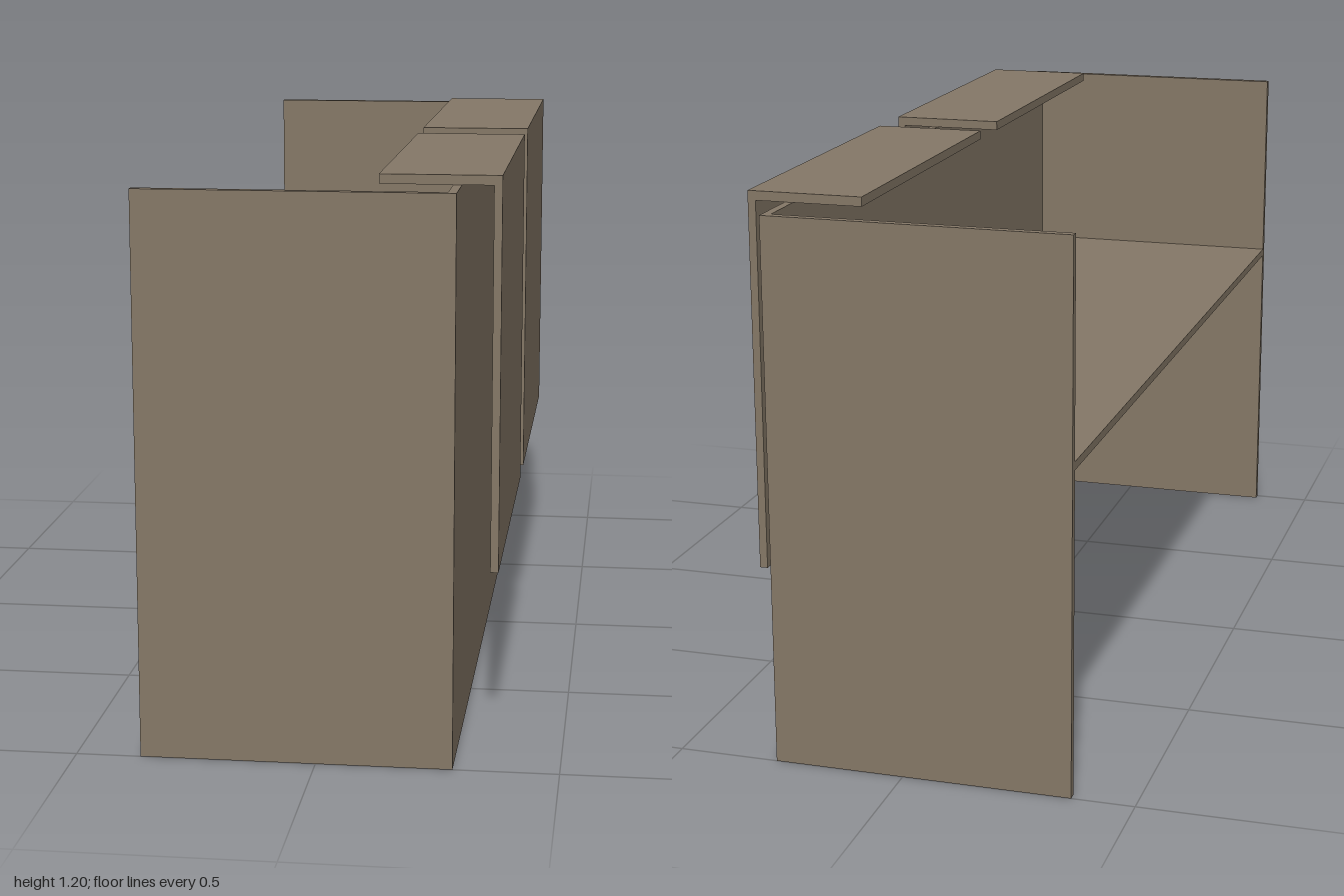
import * as THREE from 'three';

export function createModel() {
  const model = new THREE.Group();
  model.name = 'receptionDesk';
  const taupe = new THREE.MeshStandardMaterial({ color: 0x857867 });
  taupe.name = 'taupe';

  const T = 0.018;                 // board thickness
  const BACK = -0.365, FRONT = 0.282, H = 1.18;

  // Extrude a closed outline and name the mesh
  function extrude(name, points, depth) {
    const shape = new THREE.Shape(points.map(([x, y]) => new THREE.Vector2(x, y)));
    const mesh = new THREE.Mesh(new THREE.ExtrudeGeometry(shape, { depth, bevelEnabled: false }), taupe);
    mesh.name = name;
    return mesh;
  }

  // U-shaped carcass: customer-side panel with two end panels
  const carcass = extrude('panelCarcass', [
    [BACK, -1], [FRONT, -1], [FRONT, 1], [BACK, 1],
    [BACK, 1 - T], [FRONT - T, 1 - T], [FRONT - T, -1 + T], [BACK, -1 + T],
  ], H);
  carcass.rotation.x = -Math.PI / 2;
  model.add(carcass);

  // Work surface between the panels
  const width = FRONT - T - BACK;
  const worktop = new THREE.Mesh(new THREE.BoxGeometry(width, T, 2 - 2 * T), taupe);
  worktop.name = 'worktop';
  worktop.position.set(BACK + width / 2, 0.71, 0);
  model.add(worktop);

  // Two L-shaped counters: ledge on top, hanging fascia in front
  for (const [name, z] of [['leftCounter', -0.865], ['rightCounter', 0.065]]) {
    const counter = extrude(name, [
      [0.115, H], [0.346, H], [0.346, 0.38], [0.363, 0.38], [0.363, 1.2], [0.115, 1.2],
    ], 0.8);
    counter.position.z = z;
    model.add(counter);
  }
  return model;
}
